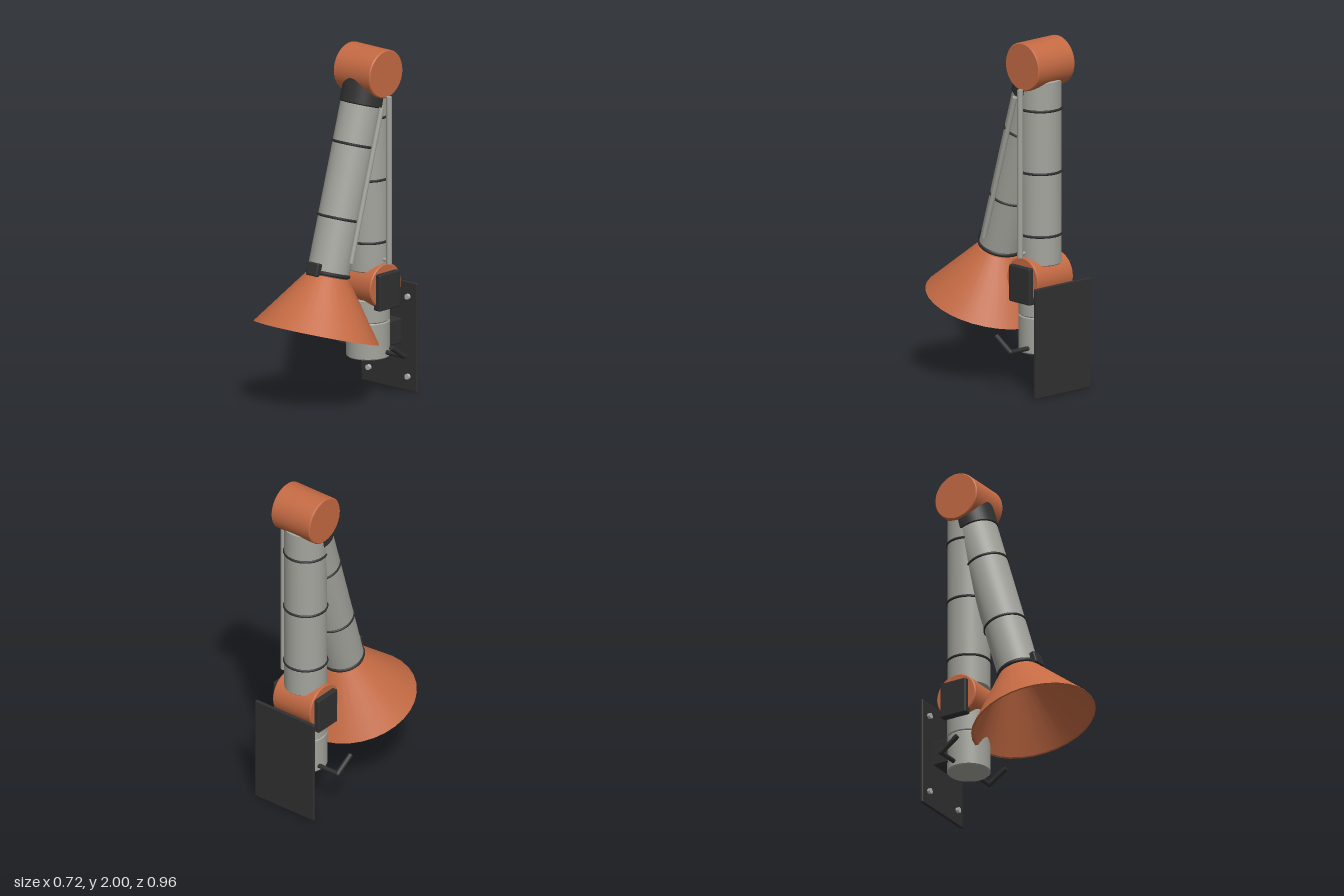
import * as THREE from 'three';
import { RoundedBoxGeometry } from 'three/addons/geometries/RoundedBoxGeometry.js';
import { toCreasedNormals } from 'three/addons/utils/BufferGeometryUtils.js';

const mat = (name, color) => {
  const m = new THREE.MeshStandardMaterial({ color });
  m.name = name;
  return m;
};

export function createModel() {
  const orange = mat('orange paint', 0xc46a43);
  const grey = mat('grey duct', 0xa3a49c);
  const black = mat('black fittings', 0x303030);
  const steel = mat('steel', 0xb4b4b0);
  const model = new THREE.Group();
  model.name = 'extractionArm';

  const add = (parent, name, geometry, material, x = 0, y = 0, z = 0) => {
    const mesh = new THREE.Mesh(geometry, material);
    mesh.name = name;
    mesh.position.set(x, y, z);
    parent.add(mesh);
    return mesh;
  };
  const box = (w, h, d, r = 0.008) => new RoundedBoxGeometry(w, h, d, 2, r);
  // Cylinder with a small bevel on both rims, centred on its own axis
  const drum = (r, h, b = 0.006) => toCreasedNormals(new THREE.LatheGeometry([
    [0, -h / 2], [r - b, -h / 2], [r, -h / 2 + b],
    [r, h / 2 - b], [r - b, h / 2], [0, h / 2],
  ].map(p => new THREE.Vector2(...p)), 40), 0.5);
  const rod = (parent, name, a, b, r, material) => {
    const from = new THREE.Vector3(...a), to = new THREE.Vector3(...b);
    const mesh = add(parent, name, new THREE.CylinderGeometry(r, r, from.distanceTo(to), 16), material);
    mesh.position.copy(from).add(to).multiplyScalar(0.5);
    mesh.quaternion.setFromUnitVectors(new THREE.Vector3(0, 1, 0), to.sub(from).normalize());
    return mesh;
  };
  const band = (parent, name, y, z = 0, r = 0.119, t = 0.008) => {
    add(parent, name, new THREE.TorusGeometry(r, t, 8, 40), black, 0, y, z).rotation.x = Math.PI / 2;
  };

  const Z = -0.29; // depth of the upright column

  // Wall plate with bolts and bracket
  add(model, 'wallPlate', box(0.42, 0.63, 0.02, 0.006), black, 0, 0.315, -0.471);
  add(model, 'wallBracket', box(0.19, 0.145, 0.1), black, 0, 0.34, -0.418);
  for (const x of [-0.148, 0.148]) for (const y of [0.085, 0.547]) {
    rod(model, 'plateBolt', [x, y, -0.465], [x, y, -0.444], 0.016, steel);
  }

  // Lower swivel in two sections
  add(model, 'swivelBase', drum(0.122, 0.21), grey, 0, 0.32, Z);
  add(model, 'swivelTop', drum(0.122, 0.135), grey, 0, 0.4925, Z);

  // Lower elbow with friction blocks on both sides
  add(model, 'lowerElbow', drum(0.128, 0.27), orange, 0, 0.64, Z).rotation.z = Math.PI / 2;
  for (const s of [-1, 1]) {
    add(model, 'elbowBlock', box(0.05, 0.21, 0.168), black, s * 0.14, 0.615, Z - 0.003);

    // Bent handles
    const bend = [s * 0.25, 0.248, -0.315];
    rod(model, 'handleShaft', [s * 0.1, 0.248, -0.315], bend, 0.013, black);
    add(model, 'handleBend', new THREE.SphereGeometry(0.015, 16, 12), black, ...bend);
    rod(model, 'handleGrip', bend, [s * 0.254, 0.322, -0.205], 0.015, black);
  }

  // Upright duct
  add(model, 'uprightDuct', drum(0.12, 1.06), grey, 0, 1.25, Z);
  for (const y of [0.89, 1.25, 1.61]) band(model, 'uprightBand', y, Z);
  rod(model, 'uprightStrut', [0.156, 0.77, Z - 0.003], [0.156, 1.735, Z - 0.003], 0.016, grey);
  rod(model, 'strutMount', [0.11, 0.79, Z], [0.15, 0.79, Z], 0.01, grey);

  // Upper elbow
  add(model, 'upperElbow', drum(0.138, 0.276), orange, 0, 1.862, Z).rotation.z = Math.PI / 2;

  // Front arm hangs from the upper elbow, tilted forwards
  const arm = new THREE.Group();
  arm.name = 'frontArm';
  arm.position.set(0, 1.862, Z);
  arm.rotation.x = -0.289;
  model.add(arm);
  add(arm, 'armCollar', drum(0.125, 0.195), black, 0, -0.0975, 0);
  add(arm, 'armDuct', drum(0.119, 1.0), grey, 0, -0.67, 0);
  for (const y of [-0.42, -0.84]) band(arm, 'armBand', y, 0, 0.118);
  rod(arm, 'armStrut', [0.148, -0.187, -0.005], [0.148, -1.073, -0.005], 0.014, grey);

  // Hood joint and thin-walled hood
  band(arm, 'hoodRing', -1.155, 0, 0.114, 0.013);
  add(arm, 'hoodClip', box(0.084, 0.075, 0.05), black, 0, -1.145, 0.118);
  const wall = [[0.111, -1.172], [0.123, -1.172], [0.358, -1.494], [0.344, -1.494], [0.111, -1.172]];
  const hood = new THREE.LatheGeometry(wall.map(p => new THREE.Vector2(...p)).reverse(), 32);
  orange.side = THREE.DoubleSide;
  add(arm, 'hood', toCreasedNormals(hood, 0.6), orange);

  return model;
}
